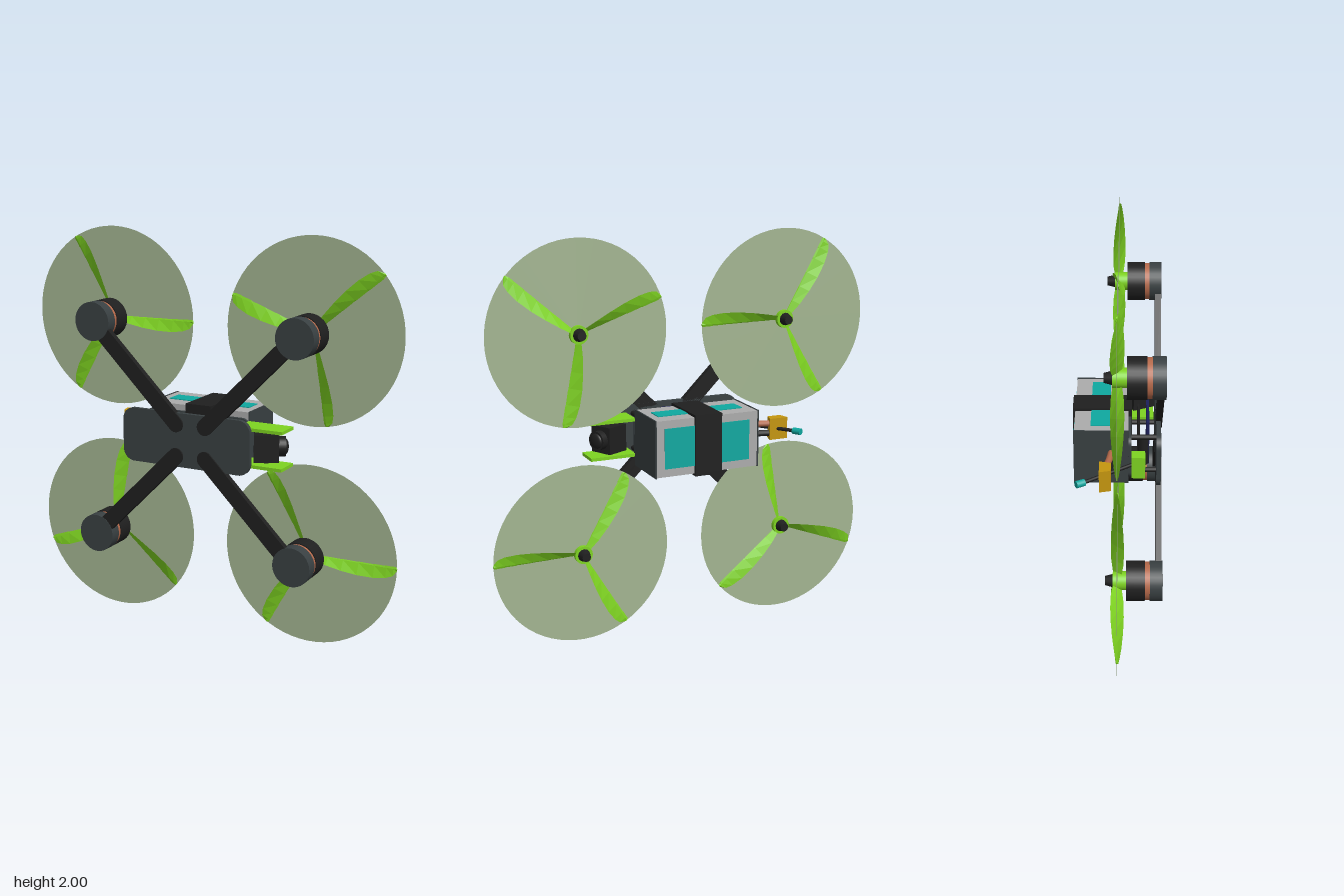
import * as THREE from 'three';

const mat = (name, color, side = THREE.FrontSide) => {
  const m = new THREE.MeshStandardMaterial({ color, side });
  m.name = name;
  return m;
};

export function createModel() {
  const M = {
    black: mat('carbon black', 0x1f1f1f),
    graphite: mat('graphite', 0x394042),
    lime: mat('lime', 0x7ed321),
    haze: mat('propeller haze', 0xa3b591, THREE.DoubleSide),
    copper: mat('copper', 0xb5694a),
    gold: mat('gold', 0xc4960f),
    teal: mat('teal', 0x0fa8a0),
    grey: mat('light grey', 0xacacac),
    navy: mat('navy', 0x1c1f5a),
  };
  const root = new THREE.Group();
  const add = (name, geo, m, x = 0, y = 0, z = 0, parent = root) => {
    const mesh = new THREE.Mesh(geo, m);
    mesh.name = name;
    mesh.position.set(x, y, z);
    parent.add(mesh);
    return mesh;
  };
  // Box given by its extents
  const box = (name, m, x0, x1, y0, y1, z0, z1) =>
    add(name, new THREE.BoxGeometry(x1 - x0, y1 - y0, z1 - z0), m,
      (x0 + x1) / 2, (y0 + y1) / 2, (z0 + z1) / 2);
  // Turned part along z, from z0 (radius r0) to z1 (radius r1)
  const drum = (name, m, r0, r1, z0, z1, parent, seg = 32) =>
    add(name, new THREE.CylinderGeometry(r1, r0, z1 - z0, seg).rotateX(Math.PI / 2), m,
      0, 0, (z0 + z1) / 2, parent);
  // Rod between two points
  const rod = (name, m, a, b, r) => {
    const p = new THREE.Vector3(...a), q = new THREE.Vector3(...b);
    const mesh = add(name, new THREE.CylinderGeometry(r, r, p.distanceTo(q), 16), m);
    mesh.position.copy(p).add(q).multiplyScalar(0.5);
    mesh.quaternion.setFromUnitVectors(new THREE.Vector3(0, 1, 0), q.sub(p).normalize());
    return mesh;
  };
  // Plate with rounded corners, facing z
  const plate = (name, m, x0, x1, y0, y1, z0, z1, r) => {
    const s = new THREE.Shape();
    s.absarc(x1 - r, y1 - r, r, 0, Math.PI / 2);
    s.absarc(x0 + r, y1 - r, r, Math.PI / 2, Math.PI);
    s.absarc(x0 + r, y0 + r, r, Math.PI, Math.PI * 1.5);
    s.absarc(x1 - r, y0 + r, r, Math.PI * 1.5, Math.PI * 2);
    const g = new THREE.ExtrudeGeometry(s, { depth: z1 - z0, bevelEnabled: false, curveSegments: 10 });
    return add(name, g, m, 0, 0, z0);
  };

  // Twisted blade along +x: [radius, half width, half height] stations, diamond section
  const stations = [[0.03, 0.015, 0.02], [0.1, 0.03, 0.03], [0.18, 0.043, 0.032], [0.26, 0.052, 0.029],
    [0.34, 0.054, 0.022], [0.4, 0.047, 0.014], [0.435, 0.034, 0.008], [0.4525, 0.008, 0.001]];
  const bladeGeometry = hand => {
    const pos = [], idx = [], n = stations.length;
    for (const [r, w, h] of stations) {
      const l = Math.hypot(w, h), t = 0.004, ny = h / l * t, nz = w / l * t;
      pos.push(r, w, h * hand, r, -ny * hand, nz, r, -w, -h * hand, r, ny * hand, -nz);
    }
    for (let i = 0; i < n - 1; i++) {
      for (let k = 0; k < 4; k++) {
        const a = i * 4 + k, b = i * 4 + (k + 1) % 4;
        idx.push(a, b, b + 4, a, b + 4, a + 4);
      }
    }
    const e = (n - 1) * 4;
    idx.push(0, 2, 1, 0, 3, 2, e, e + 1, e + 2, e, e + 2, e + 3);
    const g = new THREE.BufferGeometry();
    g.setAttribute('position', new THREE.Float32BufferAttribute(pos, 3));
    g.setIndex(idx);
    const flat = g.toNonIndexed();
    flat.computeVertexNormals();
    return flat;
  };

  // Four arms, each with motor and propeller
  const D = 0.5475, inner = 0.08, armR = 0.04;
  for (const [sx, sy, hand, turn] of [[-1, 1, -1, 0], [1, 1, 1, 40], [-1, -1, 1, 80], [1, -1, -1, 0]]) {
    const len = (D - inner) * Math.SQRT2;
    const arm = plate('arm', M.black, -armR, len + armR, -armR, armR, 0.183, 0.213, armR - 0.0001);
    arm.position.set(sx * inner, 1 + sy * inner, 0.183);
    arm.rotation.z = Math.atan2(sy, sx);

    const unit = new THREE.Group();
    unit.name = 'motorAndPropeller';
    unit.position.set(sx * D, 1 + sy * D, 0);
    root.add(unit);
    drum('motorBase', M.graphite, 0.097, 0.097, 0.155, 0.216, unit);
    drum('motorWinding', M.copper, 0.092, 0.092, 0.132, 0.155, unit);
    drum('motorBell', M.black, 0.097, 0.097, 0.042, 0.132, unit);
    drum('propellerHub', M.lime, 0.045, 0.045, -0.022, 0.042, unit);
    drum('propellerNut', M.black, 0.022, 0.032, -0.06, -0.022, unit, 12);
    add('propellerDisc', new THREE.CircleGeometry(0.4525, 64), M.haze, 0, 0, 0, unit);
    const geo = bladeGeometry(hand);
    for (let i = 0; i < 3; i++) {
      add('blade', geo, M.lime, 0, 0, 0, unit).rotation.z = (turn + i * 120) * Math.PI / 180;
    }
  }

  // Frame plates and standoffs
  plate('bottomPlate', M.graphite, -0.38, 0.32, 0.865, 1.135, 0.183, 0.205, 0.06);
  plate('topPlate', M.graphite, -0.33, 0.245, 0.89, 1.11, 0.05, 0.065, 0.04);
  for (const x of [-0.27, 0.2]) for (const y of [0.91, 1.09]) {
    drum('standoff', M.black, 0.013, 0.013, 0.06, 0.185, undefined, 12).position.set(x, y, 0.122);
  }

  // Electronics between the plates
  box('flightBoard', M.black, -0.16, 0.05, 0.9, 1.1, 0.094, 0.106);
  box('speedControlBoard', M.navy, -0.17, 0.065, 0.885, 1.115, 0.138, 0.152);
  add('capacitor', new THREE.CylinderGeometry(0.026, 0.026, 0.14, 20), M.black, -0.237, 1, 0.122);

  // Battery with end caps, labels and strap
  box('batteryPack', M.grey, -0.3, 0.237, 0.86, 1.14, -0.208, 0.05);
  for (const x of [-0.307, 0.237]) box('batteryEnd', M.graphite, x, x + 0.007, 0.857, 1.143, -0.211, 0.052);
  box('batteryBackLabel', M.teal, -0.255, 0.195, 0.9, 1.1, -0.212, -0.207);
  for (const y of [0.856, 1.139]) box('batterySideLabel', M.teal, -0.255, 0.195, y, y + 0.005, -0.13, -0.038);
  box('strapBack', M.black, -0.103, 0.038, 0.848, 1.152, -0.22, -0.206);
  box('strapFront', M.black, -0.103, 0.038, 0.848, 1.152, 0.048, 0.067);
  for (const y of [0.848, 1.139]) box('strapSide', M.black, -0.103, 0.038, y, y + 0.013, -0.22, 0.067);

  // Tilted camera between two mounting plates
  for (const y of [0.902, 1.082]) box('cameraMount', M.lime, 0.24, 0.475, y, y + 0.016, 0.05, 0.18);
  const camera = new THREE.Group();
  camera.name = 'camera';
  camera.position.set(0.36, 1, 0.105);
  camera.rotation.y = 0.46;
  root.add(camera);
  add('cameraBody', new THREE.BoxGeometry(0.12, 0.135, 0.12), M.black, 0, 0, 0, camera);
  const barrel = new THREE.CylinderGeometry(0.048, 0.048, 0.035, 28).rotateZ(-Math.PI / 2);
  add('lensBarrel', barrel, M.black, 0.075, 0, 0, camera);
  const glass = new THREE.SphereGeometry(0.038, 24, 8, 0, Math.PI * 2, 0, Math.PI / 2).scale(1, 0.4, 1).rotateZ(-Math.PI / 2);
  add('lensGlass', glass, M.black, 0.092, 0, 0, camera);
  add('cameraPivot', new THREE.CylinderGeometry(0.015, 0.015, 0.17, 16), M.black, 0, 0, 0, camera);

  // Rear antenna and its mount
  box('antennaMount', M.lime, -0.408, -0.34, 0.945, 1.055, 0.065, 0.13);
  rod('antennaRod', M.black, [-0.37, 1, 0.075], [-0.537, 1, -0.155], 0.009);
  rod('antennaTip', M.teal, [-0.535, 1, -0.152], [-0.557, 1, -0.19], 0.017);

  // Battery leads and power connector
  const leads = [['redLead', M.copper, 1.025], ['blackLead', M.black, 0.975]];
  for (const [name, m, y] of leads) {
    const path = new THREE.CatmullRomCurve3([[-0.3, -0.03], [-0.37, -0.04], [-0.46, -0.06]]
      .map(([x, z]) => new THREE.Vector3(x, y, z)));
    add(name, new THREE.TubeGeometry(path, 10, 0.016, 10), m);
  }
  const plug = new THREE.BoxGeometry(0.098, 0.11, 0.055);
  const p = plug.attributes.position;
  for (let i = 0; i < p.count; i++) if (p.getZ(i) > 0) p.setX(i, p.getX(i) * 0.72);
  plug.computeVertexNormals();
  add('powerConnector', plug, M.gold, -0.487, 1, -0.058);

  return root;
}
